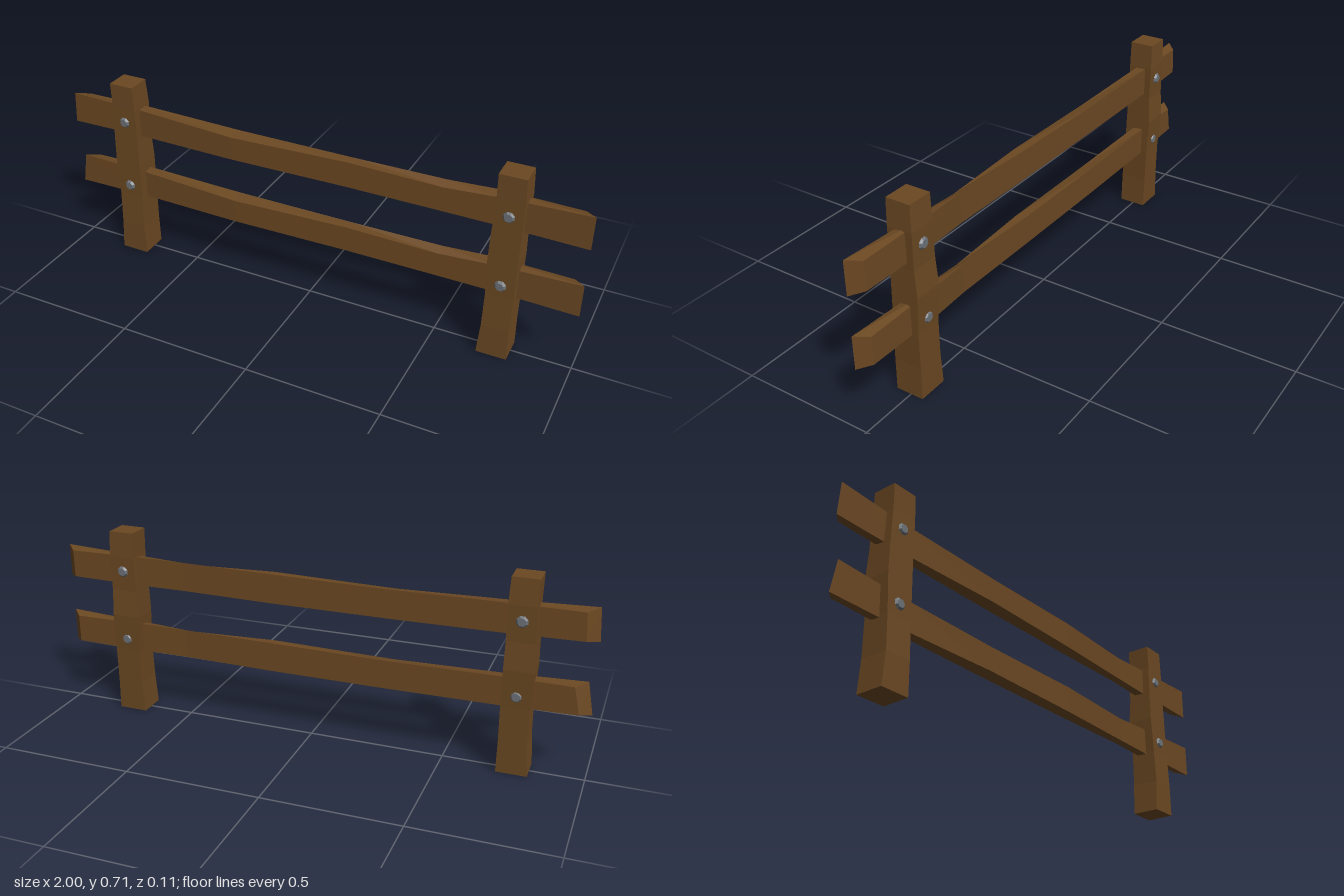
import * as THREE from 'three';

const wood = new THREE.MeshStandardMaterial({ color: 0x6b4822, flatShading: true });
const iron = new THREE.MeshStandardMaterial({ color: 0x6c7278, flatShading: true });

// Skins a list of four-cornered rings (counter-clockwise seen from the last ring) and caps both ends.
function loft(rings) {
  const pos = [];
  const quad = (a, b, c, d) => pos.push(...a, ...b, ...c, ...a, ...c, ...d);
  for (let i = 0; i < rings.length - 1; i++) {
    const r = rings[i], s = rings[i + 1];
    for (let k = 0; k < 4; k++) {
      const n = (k + 1) % 4;
      quad(r[k], r[n], s[n], s[k]);
    }
  }
  quad(...[...rings[0]].reverse());
  quad(...rings[rings.length - 1]);
  const geo = new THREE.BufferGeometry();
  geo.setAttribute('position', new THREE.Float32BufferAttribute(pos, 3));
  geo.computeVertexNormals();
  return geo;
}

// Roughly hewn post: [height, left, right, back, front]
function postGeometry() {
  const sections = [
    [0, -0.055, 0.055, -0.047, 0.057],
    [0.12, -0.046, 0.053, -0.048, 0.057],
    [0.25, -0.045, 0.054, -0.049, 0.051],
    [0.39, -0.051, 0.053, -0.055, 0.048],
    [0.49, -0.049, 0.052, -0.048, 0.046],
    [0.62, -0.044, 0.053, -0.050, 0.044],
    [0.715, -0.046, 0.049, -0.046, 0.044],
  ];
  return loft(sections.map(([y, l, r, b, f]) => [[l, y, f], [r, y, f], [r, y, b], [l, y, b]]));
}

// Warped rail: [x, front bottom, front top, back bottom, back top, front z, back z],
// heights measured from the rail axis. The back of both ends is cut at an angle.
function railGeometry(topCut) {
  const sections = [
    [-1, -0.06, 0.06, -0.05, 0.05, 0.018, -0.022],
    [-0.7, -0.058, 0.05, -0.055, 0.052, 0.015, -0.024],
    [-0.3, -0.054, 0.036, -0.06, 0.046, 0.028, -0.02],
    [0.15, -0.052, 0.046, -0.062, 0.048, 0.022, -0.015],
    [0.5, -0.056, 0.036, -0.058, 0.051, 0.017, -0.014],
    [0.68, -0.058, 0.048, -0.055, 0.055, 0.015, -0.024],
    [1, -0.062, 0.061, -0.052, 0.051, 0.018, -0.022],
  ];
  return loft(sections.map(([x, fb, ft, bb, bt, f, b]) => {
    const xb = Math.abs(x) === 1 ? x * 0.96 : x;
    const t = x === -1 ? topCut : 0;
    return [[x, fb, f], [xb, bb, b], [xb + t, bt, b], [x + t, ft, f]];
  }));
}

export function createModel() {
  const fence = new THREE.Group();
  fence.name = 'fence';
  const add = (name, geo, mat, x, y, z) => {
    const mesh = new THREE.Mesh(geo, mat);
    mesh.name = name;
    mesh.position.set(x, y, z);
    fence.add(mesh);
    return mesh;
  };

  // Rails
  add('upperRail', railGeometry(0.008), wood, 0, 0.564, 0);
  add('lowerRail', railGeometry(0.022), wood, 0, 0.299, 0);

  // Posts, with a bevelled bolt head on each face where a rail passes through
  const post = postGeometry();
  const bolt = new THREE.CylinderGeometry(0.015, 0.025, 0.012, 8).rotateY(Math.PI / 8).rotateX(Math.PI / 2);
  for (const [side, x] of [['right', -0.755], ['left', 0.73]]) {
    add(side + 'Post', post, wood, x, 0, 0);
    for (const [y, front, back] of [[0.565, 0.046, -0.051], [0.295, 0.052, -0.05]]) {
      add(side + 'FrontBolt', bolt, iron, x + 0.003, y, front);
      add(side + 'BackBolt', bolt, iron, x + 0.003, y, back).rotation.y = Math.PI;
    }
  }
  return fence;
}
